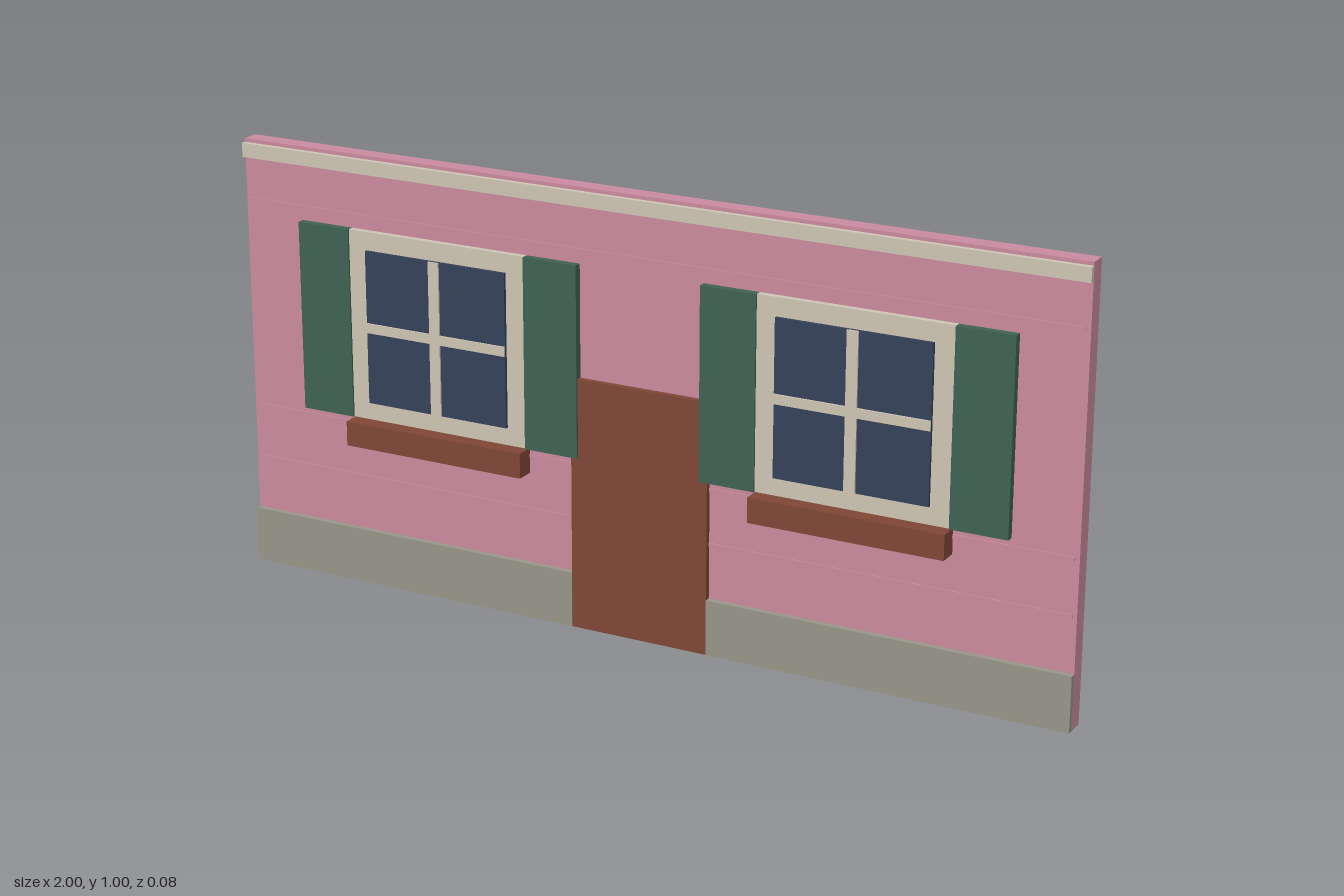
import * as THREE from 'three';

const mat = (name, color) => {
  const m = new THREE.MeshStandardMaterial({ color });
  m.name = name;
  return m;
};

export function createModel() {
  const pink = mat('pink boards', 0xc98a9e);
  const stone = mat('grey stone', 0x979587);
  const cream = mat('cream trim', 0xcdc5b3);
  const green = mat('green shutters', 0x3f6153);
  const brown = mat('brown wood', 0x7f4636);
  const glass = mat('dark blue glass', 0x35415a);

  const model = new THREE.Group();
  model.name = 'houseFacade';
  const FACE = -0.002; // front surface of the wall

  // Box given by its limits on each axis
  const box = (parent, name, material, x0, x1, y0, y1, z0, z1) => {
    const mesh = new THREE.Mesh(new THREE.BoxGeometry(x1 - x0, y1 - y0, z1 - z0), material);
    mesh.position.set((x0 + x1) / 2, (y0 + y1) / 2, (z0 + z1) / 2);
    mesh.name = name;
    parent.add(mesh);
    return mesh;
  };

  // Wall slab: painted all round, bare stone at the back
  box(model, 'wall', [pink, pink, pink, pink, pink, stone], -1, 1, 0, 1, -0.042, FACE);

  // Thin board seams
  for (const y of [0.252, 0.377, 0.862]) {
    box(model, 'boardSeam', pink, -0.99, 0.99, y - 0.004, y + 0.004, FACE, 0.001);
  }

  // Cornice, plinth on both sides of the door, and the door
  box(model, 'cornice', cream, -1, 1, 0.96, 0.992, FACE, 0.01);
  box(model, 'plinthRight', stone, -1, -0.165, 0, 0.127, FACE, 0.012);
  box(model, 'plinthLeft', stone, 0.165, 1, 0, 0.127, FACE, 0.012);
  box(model, 'door', brown, -0.165, 0.165, 0, 0.577, FACE, 0.011);

  // Two windows with shutters and planters
  for (const side of [-1, 1]) {
    const win = new THREE.Group();
    win.name = side < 0 ? 'windowRight' : 'windowLeft';
    win.position.x = side * 0.5;
    model.add(win);

    box(win, 'frame', cream, -0.222, 0.222, 0.397, 0.832, FACE, 0.012);
    box(win, 'pane', glass, -0.177, 0.177, 0.438, 0.79, 0.012, 0.019);
    box(win, 'verticalBar', cream, -0.013, 0.013, 0.438, 0.79, 0.019, 0.023);
    box(win, 'horizontalBar', cream, -0.177, 0.177, 0.603, 0.625, 0.019, 0.023);
    box(win, 'shutter', green, -0.352, -0.222, 0.397, 0.832, FACE, 0.016);
    box(win, 'shutter', green, 0.222, 0.352, 0.397, 0.832, FACE, 0.016);
    box(win, 'planter', brown, -0.224, 0.224, 0.337, 0.394, FACE, 0.042);
  }
  return model;
}
